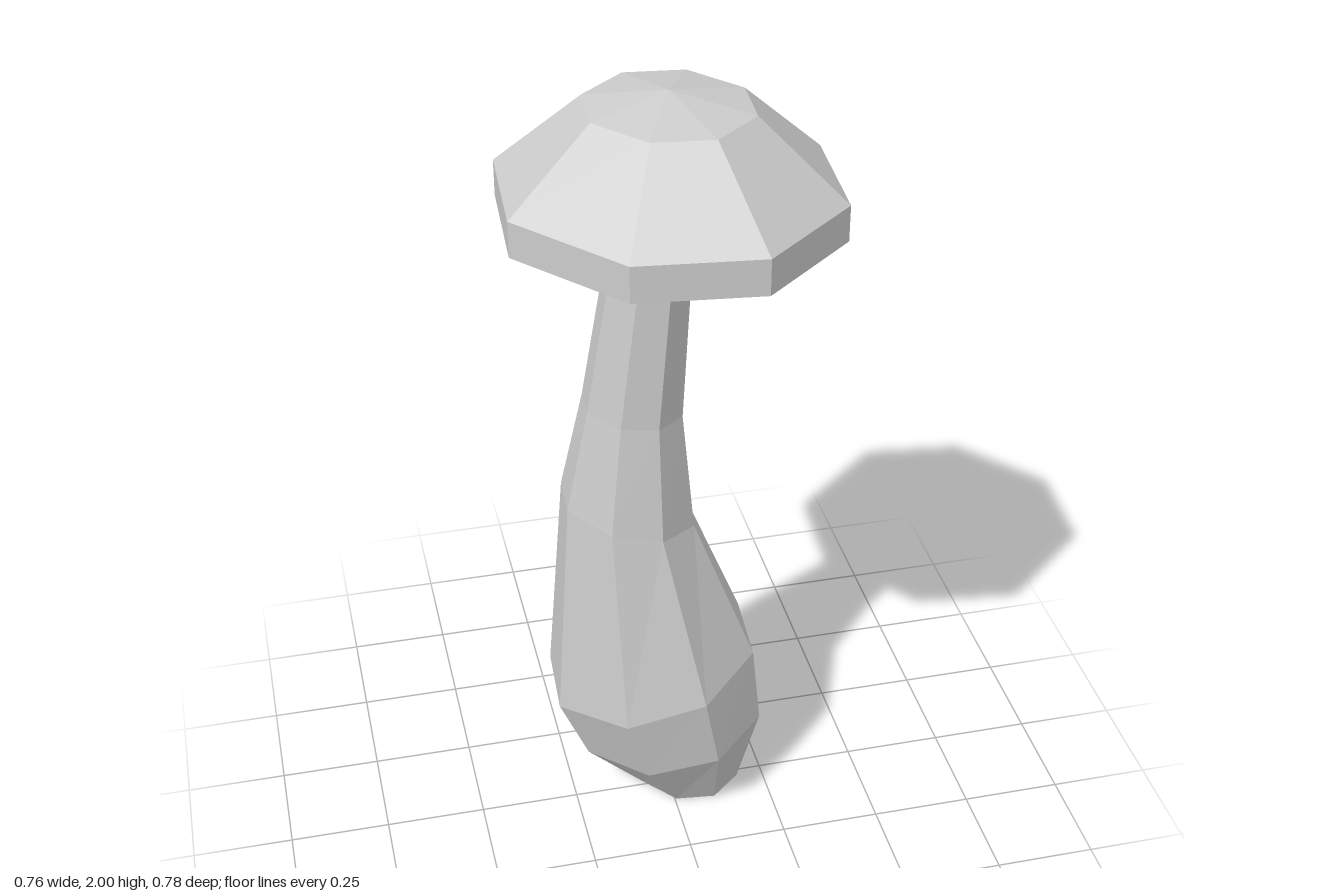
import * as THREE from 'three';

// Slightly irregular octagon shared by cap and stem: four corners, then their opposites
const half = [[0.36, 0.197], [0.13, 0.389], [-0.165, 0.354], [-0.378, 0.102]];
const octagon = [...half, ...half.map(([x, z]) => [-x, -z])];

// Skin a list of octagon rings: { x, y, z: centre, s: scale, tilt: rise of y per unit of x }
function loft(name, rings) {
  const rows = rings.map(({ x = 0, y, z = 0, s, tilt = 0 }) =>
    octagon.map(([px, pz]) => [x + px * s, y + px * s * tilt, z + pz * s]));
  const pos = [];
  for (let r = 0; r < rows.length - 1; r++) {
    for (let i = 0; i < 8; i++) {
      const j = (i + 1) % 8;
      const [a, b, c, d] = [rows[r][i], rows[r][j], rows[r + 1][i], rows[r + 1][j]];
      if (rings[r].s > 0) pos.push(...a, ...c, ...b);
      if (rings[r + 1].s > 0) pos.push(...b, ...c, ...d);
      // A ring of zero scale is a point
    }
  }
  const geometry = new THREE.BufferGeometry();
  geometry.setAttribute('position', new THREE.Float32BufferAttribute(pos, 3));
  geometry.computeVertexNormals();
  const mesh = new THREE.Mesh(geometry,
    new THREE.MeshStandardMaterial({ color: 0xcccccc, flatShading: true }));
  mesh.name = name;
  return mesh;
}

export function createModel() {
  const group = new THREE.Group();
  group.name = 'mushroom';

  // Crooked stem with a swollen foot; radii are relative to the 0.4 octagon
  const stem = [
    [0.06, 0, -0.045, 0, 0],
    [0.06, 0, -0.045, 0.135, 0],
    [0.01, 0.2, -0.048, 0.24, 0.19],
    [-0.038, 0.4, -0.05, 0.266, 0.28],
    [-0.095, 0.895, -0.038, 0.165, -0.22],
    [-0.083, 1.19, -0.025, 0.121, -0.1],
    [-0.04, 1.63, -0.005, 0.097, 0],
    [-0.02, 1.79, 0, 0.09, 0],
    [-0.02, 1.79, 0, 0, 0],
  ].map(([x, y, z, r, tilt]) => ({ x, y, z, s: r / 0.4, tilt }));
  group.add(loft('stem', stem));

  // Cap: hollow underside, bevelled lip, upright rim, domed top
  group.add(loft('cap', [
    { y: 1.76, s: 0 },
    { y: 1.63, s: 0.68 },
    { y: 1.69, s: 1 },
    { y: 1.778, s: 1 },
    { y: 1.963, s: 0.485 },
    { y: 2, s: 0 },
  ]));
  return group;
}
